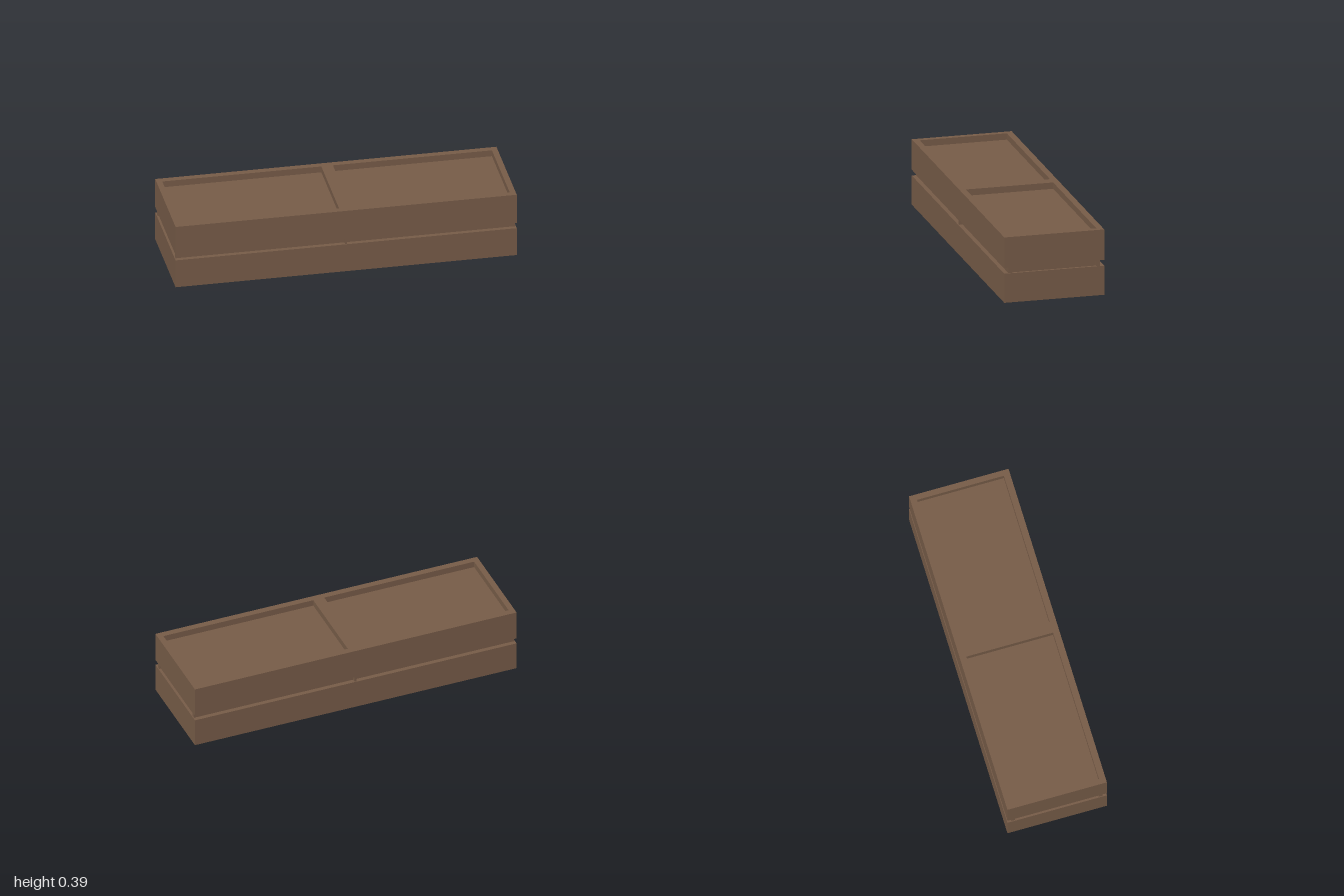
import * as THREE from 'three';

export function createModel() {
  const model = new THREE.Group();
  const wood = new THREE.MeshStandardMaterial({ color: 0x775c48 });
  wood.name = 'brown wood';

  const H = 0.393, HALF_Z = 0.298;
  const GROOVE_LOW = 0.175, GROOVE_HIGH = 0.21, TRAY_FLOOR = 0.355;

  // Box centred on x, z, spanning y0 to y1
  function slab(name, halfX, halfZ, y0, y1, x = 0, z = 0) {
    const mesh = new THREE.Mesh(new THREE.BoxGeometry(halfX * 2, y1 - y0, halfZ * 2), wood);
    mesh.position.set(x, (y0 + y1) / 2, z);
    mesh.name = name;
    model.add(mesh);
  }

  // Lower and upper blocks with a recessed core between them
  slab('lowerBlock', 1, HALF_Z, 0, GROOVE_LOW);
  slab('recessedCore', 0.985, 0.272, GROOVE_LOW, GROOVE_HIGH);
  slab('upperBlock', 1, HALF_Z, GROOVE_HIGH, TRAY_FLOOR);

  // Thin spacers in the groove: middle and four corners
  slab('middleSpacer', 0.005, 0.294, GROOVE_LOW, GROOVE_HIGH);
  for (const sx of [-1, 1]) {
    for (const sz of [-1, 1]) {
      slab('cornerSpacer', 0.005, 0.011, GROOVE_LOW, GROOVE_HIGH, sx * 0.99, sz * 0.262);
    }
  }

  // Rim with two rectangular openings that form the trays
  const rectangle = (path, x0, x1, z) => path
    .moveTo(x0, -z).lineTo(x1, -z).lineTo(x1, z).lineTo(x0, z).lineTo(x0, -z);
  const rim = new THREE.Shape();
  rectangle(rim, -1, 1, HALF_Z);
  for (const [x0, x1] of [[-0.966, -0.034], [0.034, 0.966]]) {
    const hole = new THREE.Path();
    rectangle(hole, x0, x1, 0.26);
    rim.holes.push(hole);
  }
  const rimGeometry = new THREE.ExtrudeGeometry(rim, { depth: H - TRAY_FLOOR, bevelEnabled: false });
  rimGeometry.rotateX(-Math.PI / 2);
  const rimMesh = new THREE.Mesh(rimGeometry, wood);
  rimMesh.position.y = TRAY_FLOOR;
  rimMesh.name = 'trayRim';
  model.add(rimMesh);

  return model;
}
